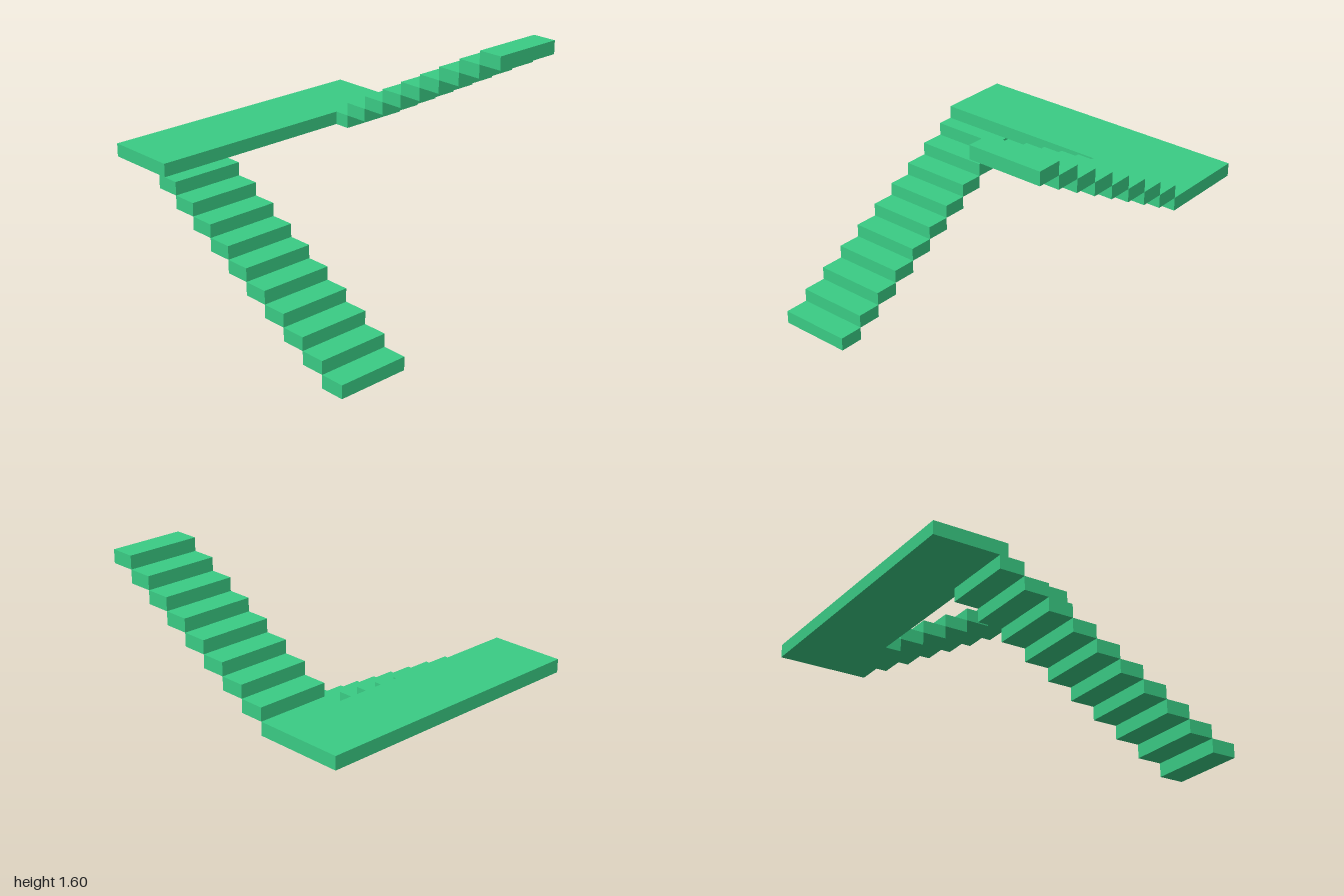
import * as THREE from 'three';

const RISE = 1.604 / 19;    // height of every step and of the landing
const TREAD = 0.158;        // depth of a step along x
const Z_OUT = 0.924;        // outer edge of both flights
const Z_IN = 0.449;         // inner edge of both flights
const LANDING_X = -0.526;   // open edge of the landing
const LOWER_STEPS = 10;
const UPPER_STEPS = 8;

export function createModel() {
  const model = new THREE.Group();
  model.name = 'staircase';
  const material = new THREE.MeshStandardMaterial({ color: 0x3acc85 });

  // Slab between two x and two z limits, standing on level number `level`
  function slab(name, x0, x1, z0, z1, level, parent) {
    const mesh = new THREE.Mesh(new THREE.BoxGeometry(x1 - x0, RISE, z1 - z0), material);
    mesh.position.set((x0 + x1) / 2, (level + 0.5) * RISE, (z0 + z1) / 2);
    mesh.name = name;
    parent.add(mesh);
  }

  // Lower flight at the front, climbing towards -x
  const lower = new THREE.Group();
  lower.name = 'lowerFlight';
  for (let i = 0; i < LOWER_STEPS; i++) {
    const x1 = 1 - i * TREAD;
    slab(`lowerStep${i + 1}`, x1 - TREAD, x1, Z_IN, Z_OUT, i, lower);
  }

  // Landing joining the two flights
  slab('landing', -1, LANDING_X, -Z_OUT, Z_OUT, LOWER_STEPS, model);

  // Upper flight at the back, climbing towards +x
  const upper = new THREE.Group();
  upper.name = 'upperFlight';
  const start = 1 - 9 * TREAD;
  // First step is level with the landing and runs into it
  slab('upperStep1', LANDING_X, start, -Z_OUT, -Z_IN, LOWER_STEPS, upper);
  for (let i = 0; i < UPPER_STEPS; i++) {
    const x0 = start + i * TREAD;
    slab(`upperStep${i + 2}`, x0, x0 + TREAD, -Z_OUT, -Z_IN, LOWER_STEPS + 1 + i, upper);
  }

  model.add(lower, upper);
  return model;
}
